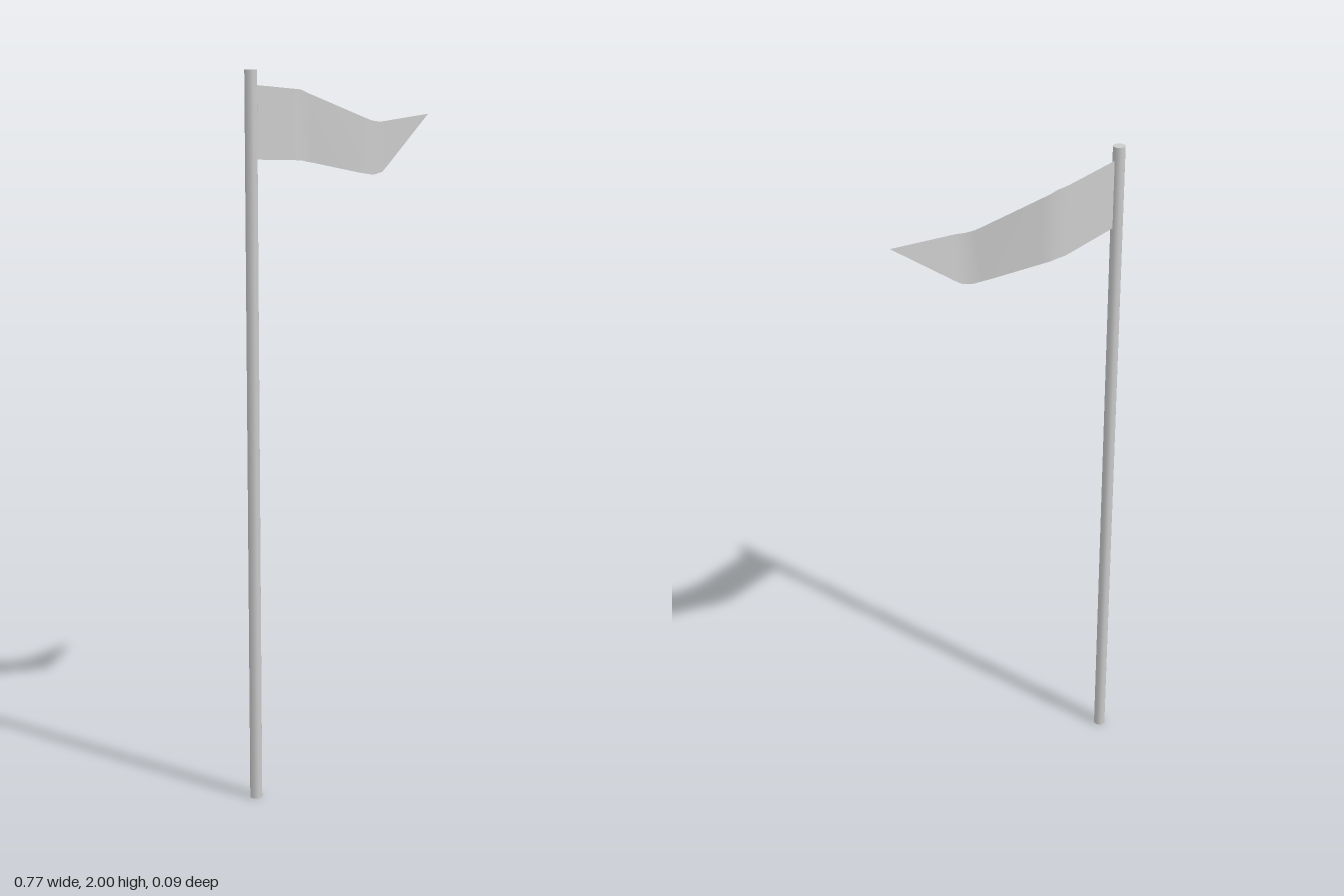
import * as THREE from 'three';

// Sheet stretched between a top and a bottom edge, one vertical strip per station
function sheet(stations) {
  const positions = [], index = [];
  stations.forEach(([xTop, yTop, xBottom, yBottom, z], i) => {
    positions.push(xTop, yTop, z, xBottom, yBottom, z);
    if (i > 0) {
      const a = 2 * (i - 1);
      index.push(a, a + 1, a + 3, a, a + 3, a + 2);
    }
  });
  const geometry = new THREE.BufferGeometry();
  geometry.setAttribute('position', new THREE.Float32BufferAttribute(positions, 3));
  geometry.setIndex(index);
  geometry.computeVertexNormals();
  return geometry;
}

export function createModel() {
  const model = new THREE.Group();
  model.name = 'pennantOnPole';

  // Tall thin eight-sided pole
  const poleGeometry = new THREE.CylinderGeometry(0.018, 0.018, 2, 8);
  poleGeometry.rotateY(Math.PI / 8);
  const pole = new THREE.Mesh(poleGeometry, new THREE.MeshStandardMaterial({ color: 0xcccccc }));
  pole.name = 'pole';
  pole.position.set(-0.368, 1, 0.027);
  model.add(pole);

  // Pennant with two soft folds, tapering to a point: xTop, yTop, xBottom, yBottom, z
  const stations = [
    [-0.36, 1.962, -0.36, 1.767, 0.027],
    [-0.15, 1.962, -0.15, 1.767, -0.039],
    [-0.13, 1.962, -0.13, 1.767, -0.044],
    [-0.105, 1.961, -0.105, 1.767, -0.046],
    [-0.08, 1.952, -0.085, 1.763, -0.043],
    [-0.06, 1.945, -0.065, 1.76, -0.037],
    [0.09, 1.889, 0.065, 1.734, 0.012],
    [0.115, 1.88, 0.09, 1.73, 0.021],
    [0.14, 1.877, 0.115, 1.727, 0.028],
    [0.165, 1.88, 0.15, 1.735, 0.029],
    [0.19, 1.883, 0.175, 1.752, 0.026],
    [0.385, 1.906, 0.385, 1.905, 0],
  ];
  const pennant = new THREE.Mesh(
    sheet(stations),
    new THREE.MeshStandardMaterial({ color: 0xcccccc, side: THREE.DoubleSide })
  );
  pennant.name = 'pennant';
  model.add(pennant);

  return model;
}
